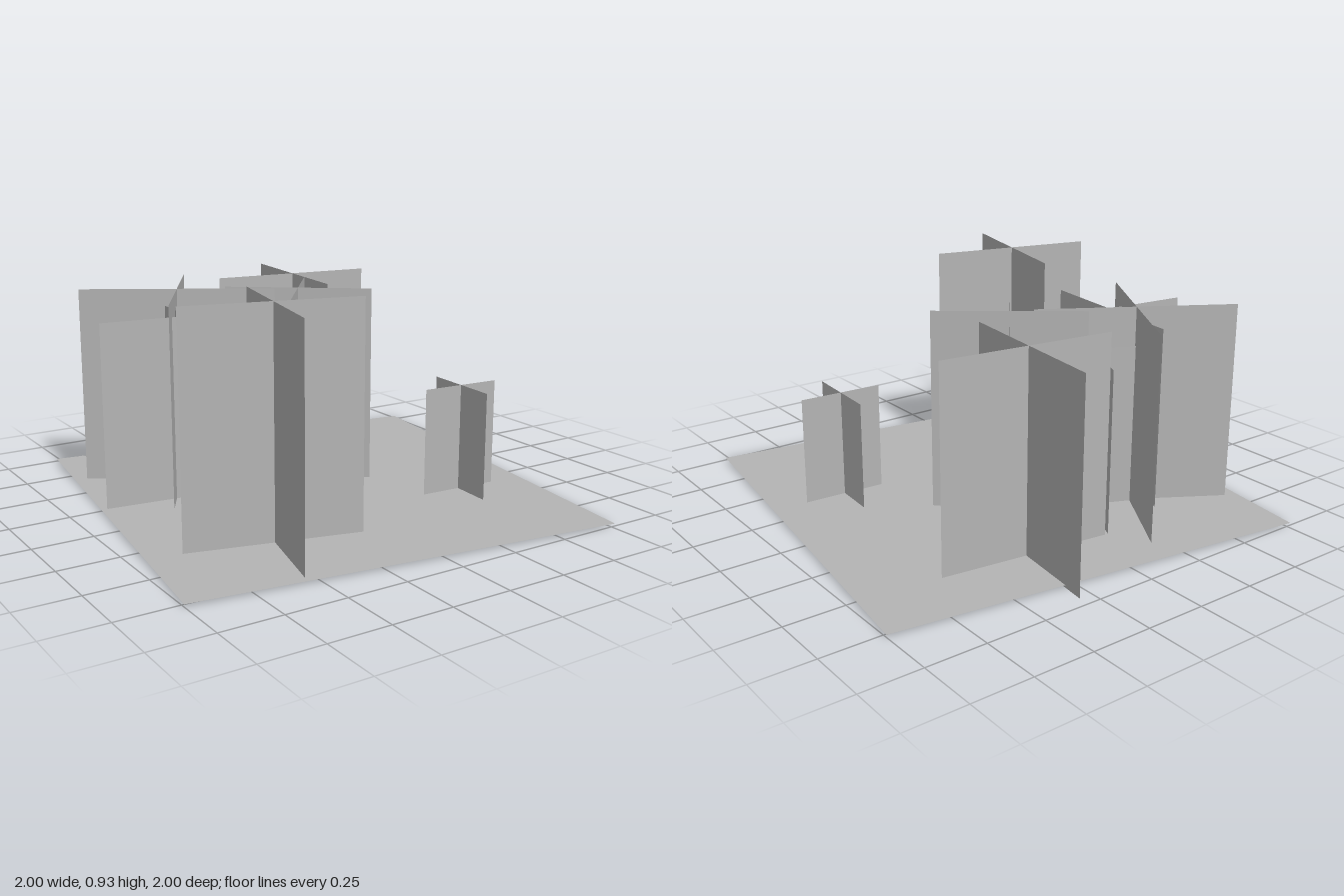
import * as THREE from 'three';

export function createModel() {
  const group = new THREE.Group();
  const grey = new THREE.MeshStandardMaterial({ color: 0xb4b4b4, side: THREE.DoubleSide });
  grey.name = 'plain grey';

  // Square ground sheet, slightly turned; the cards reach just below it
  const ground = new THREE.Mesh(new THREE.PlaneGeometry(1.785, 1.785).rotateX(-Math.PI / 2), grey);
  ground.name = 'ground';
  ground.position.y = 0.01;
  ground.rotation.y = -Math.atan2(0.23, 1.77);
  group.add(ground);

  // Each plant is two upright cards crossing at right angles:
  // centre x, centre z, half span of the first card along x and z, height
  const plants = [
    [0.528, 0.328, 0.1765, 0.01, 0.465],
    [-0.46, 0.453, 0.345, 0.085, 0.93],
    [0.265, -0.5925, 0.361, 0.0425, 0.845],
    [0.045, -0.19, 0.25, 0.19, 0.85],
    [-0.48, -0.195, 0.365, 0.04, 0.778],
    [-0.405, -0.44, 0.357, 0.212, 0.85],
    [-0.039, -0.161, 0.104, 0.268, 0.67],
    [-0.224, -0.375, 0.26, 0.112, 0.69],
  ];
  plants.forEach(([x, z, hx, hz, height], i) => {
    const plant = new THREE.Group();
    plant.name = `crossedPlant${i + 1}`;
    plant.position.set(x, height / 2, z);
    plant.rotation.y = -Math.atan2(hz, hx);
    const card = new THREE.PlaneGeometry(2 * Math.hypot(hx, hz), height);
    for (const [name, turn] of [['firstCard', 0], ['secondCard', Math.PI / 2]]) {
      const mesh = new THREE.Mesh(card, grey);
      mesh.name = name;
      mesh.rotation.y = turn;
      plant.add(mesh);
    }
    group.add(plant);
  });

  return group;
}
